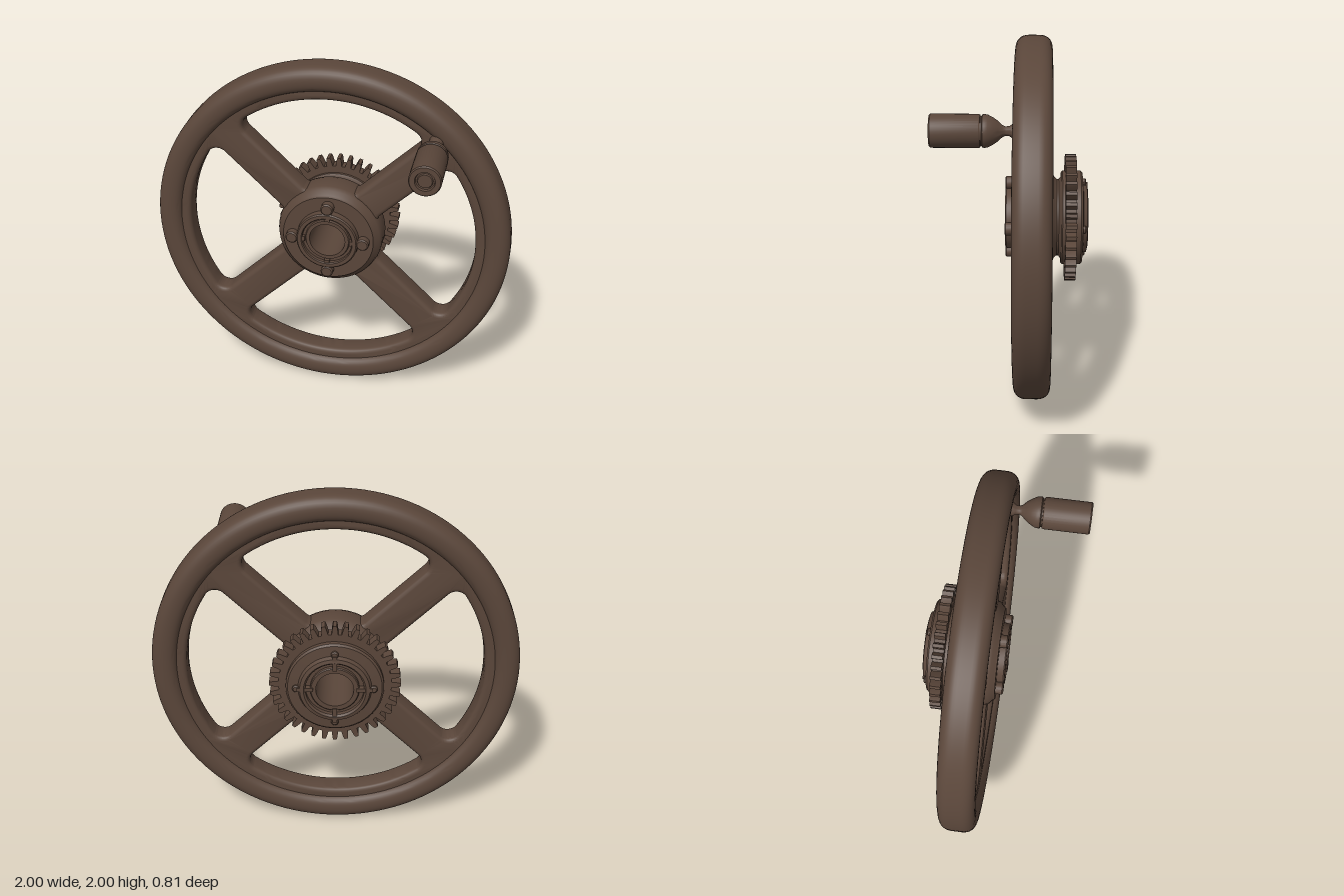
import * as THREE from 'three';
import { toCreasedNormals } from 'three/addons/utils/BufferGeometryUtils.js';

const CENTRE_Y = 1;
const RIM_Z = -0.11;

export function createModel() {
  const model = new THREE.Group();
  model.name = 'handwheel';
  const iron = new THREE.MeshStandardMaterial({ color: 0x5a463a });
  iron.name = 'dark brown iron';

  const add = (name, geometry, x = 0, y = 0, z = 0, parent = model) => {
    const mesh = new THREE.Mesh(toCreasedNormals(geometry, 0.6), iron);
    mesh.name = name;
    mesh.position.set(x, y, z);
    parent.add(mesh);
    return mesh;
  };

  // Turned part around the z axis; profile pairs are [radius, z], outside run towards +z
  const turned = (profile, segments = 64) =>
    new THREE.LatheGeometry(profile.map(([r, z]) => new THREE.Vector2(r, z)), segments).rotateX(Math.PI / 2);

  // Rim: fat rounded section
  const section = new THREE.Shape();
  section.moveTo(0.93, -0.1);
  section.bezierCurveTo(0.975, -0.1, 1, -0.07, 1, -0.03);
  section.lineTo(1, 0.03);
  section.bezierCurveTo(1, 0.07, 0.975, 0.1, 0.93, 0.1);
  section.bezierCurveTo(0.89, 0.1, 0.868, 0.085, 0.86, 0.055);
  section.quadraticCurveTo(0.845, 0, 0.86, -0.055);
  section.bezierCurveTo(0.868, -0.085, 0.89, -0.1, 0.93, -0.1);
  add('rim', turned(section.getPoints(8).map((p) => [p.x, p.y]), 128), 0, CENTRE_Y, RIM_Z);

  // Spoke plate: disc with four filleted openings
  const opening = (phi, h) => {
    const R = 0.81, hub = 0.285, half = 0.09, f1 = 0.06, f2 = 0.05;
    const a1 = h - Math.asin((half + f1) / (R - f1));
    const a2 = h - Math.asin((half + f2) / (hub + f2));
    const path = new THREE.Path();
    const fillet = (radius, angle, f, from, to) =>
      path.absarc(radius * Math.cos(phi + angle), radius * Math.sin(phi + angle), f, phi + from, phi + to, false);
    const q = Math.PI / 2;
    path.absarc(0, 0, R, phi - a1, phi + a1, false);
    fillet(R - f1, a1, f1, a1, h + q);
    fillet(hub + f2, a2, f2, h + q, a2 + 2 * q);
    path.absarc(0, 0, hub, phi + a2, phi - a2, true);
    fillet(hub + f2, -a2, f2, -a2 - 2 * q, -h - q);
    fillet(R - f1, -a1, f1, -h - q, -a1);
    // Drop coincident points where the arcs meet
    const points = path.getPoints(20).filter((p, i, all) => i === 0 || p.distanceTo(all[i - 1]) > 1e-5);
    if (points[0].distanceTo(points[points.length - 1]) < 1e-5) points.pop();
    return new THREE.Path(points);
  };
  const plate = new THREE.Shape().absarc(0, 0, 0.91, 0, Math.PI * 2, false);
  const spokeAngle = THREE.MathUtils.degToRad(43.8);
  for (let i = 0; i < 4; i++) {
    plate.holes.push(opening((i * Math.PI) / 2, i % 2 ? Math.PI / 2 - spokeAngle : spokeAngle));
  }
  plate.holes.push(new THREE.Path().absarc(0, 0, 0.15, 0, Math.PI * 2, true));
  const bevel = 0.025;
  const spokes = new THREE.ExtrudeGeometry(plate, {
    depth: 0.13 - 2 * bevel, curveSegments: 40, bevelEnabled: true,
    bevelSize: bevel, bevelThickness: bevel, bevelOffset: -bevel, bevelSegments: 4,
  });
  add('spokes', spokes, 0, CENTRE_Y, RIM_Z - 0.065 + bevel);

  // Hub, turned from back to front, with its through bore
  add('hub', turned([
    [0.1, -0.4], [0.125, -0.4], [0.13, -0.395], [0.13, -0.375], [0.155, -0.375], [0.155, -0.4],
    [0.165, -0.41], [0.185, -0.405], [0.195, -0.385], [0.25, -0.38], [0.26, -0.37], [0.26, -0.27],
    [0.25, -0.262], [0.225, -0.26], [0.212, -0.25], [0.212, -0.24], [0.225, -0.225], [0.26, -0.215],
    [0.285, -0.19], [0.295, -0.16], [0.295, -0.06], [0.285, -0.03], [0.262, -0.012],
    [0.255, 0], [0.175, 0], [0.172, 0.035], [0.165, 0.042], [0.145, 0.042], [0.14, 0.035],
    [0.14, 0.015], [0.125, 0.015], [0.12, 0.025], [0.1, 0.025], [0.1, -0.4],
  ]), 0, CENTRE_Y, 0);

  // Sprocket gear behind the wheel
  const gear = new THREE.Shape();
  const teeth = 36;
  const toothProfile = [[-0.33, 0.3], [-0.23, 0.335], [-0.15, 0.35], [0.15, 0.35], [0.23, 0.335], [0.33, 0.3]];
  for (let i = 0; i < teeth; i++) {
    toothProfile.forEach(([offset, r], k) => {
      const a = ((i + offset) / teeth) * Math.PI * 2;
      gear[i + k ? 'lineTo' : 'moveTo'](r * Math.cos(a), r * Math.sin(a));
    });
  }
  gear.closePath();
  gear.holes.push(new THREE.Path().absarc(0, 0, 0.22, 0, Math.PI * 2, true));
  add('sprocketGear', new THREE.ExtrudeGeometry(gear, { depth: 0.06, bevelEnabled: false, curveSegments: 32 }),
    0, CENTRE_Y, -0.345);

  // Four bolts on the front face and four locking ribs on the back
  for (let i = 0; i < 4; i++) {
    const arm = new THREE.Group();
    arm.name = 'hubFastener' + (i + 1);
    arm.position.y = CENTRE_Y;
    arm.rotation.z = (i * Math.PI) / 2;
    model.add(arm);
    add('frontBolt', turned([[0.035, -0.02], [0.035, 0.036], [0.028, 0.043], [0, 0.043]], 20), 0.2, 0, 0, arm);
    add('frontKey', new THREE.BoxGeometry(0.06, 0.03, 0.04), 0.155, 0, 0.018, arm);
    add('backRib', new THREE.BoxGeometry(0.085, 0.022, 0.04), 0.158, 0, -0.387, arm);
    add('backPin', turned([[0, -0.4], [0.014, -0.4], [0.02, -0.394], [0.02, -0.36]], 16), 0.205, 0, 0, arm);
  }

  // Crank handle: flared neck, rounded collar and cylindrical grip
  const handle = new THREE.Group();
  handle.name = 'crankHandle';
  handle.position.set(0.57, CENTRE_Y + 0.64, 0);
  model.add(handle);
  add('handleNeck', turned([
    [0.04, -0.06], [0.035, -0.01], [0.025, 0.005], [0.023, 0.025], [0.03, 0.04], [0.05, 0.06], [0.067, 0.085],
    [0.08, 0.11], [0.083, 0.125], [0.082, 0.137], [0.074, 0.142], [0.074, 0.16],
  ], 36), 0, 0, 0, handle);
  add('handleGrip', turned([
    [0.07, 0.147], [0.08, 0.149], [0.084, 0.155], [0.084, 0.393], [0.078, 0.4], [0.052, 0.4],
    [0.048, 0.388], [0.04, 0.388], [0.036, 0.396], [0, 0.396],
  ], 36), 0, 0, 0, handle);

  return model;
}
